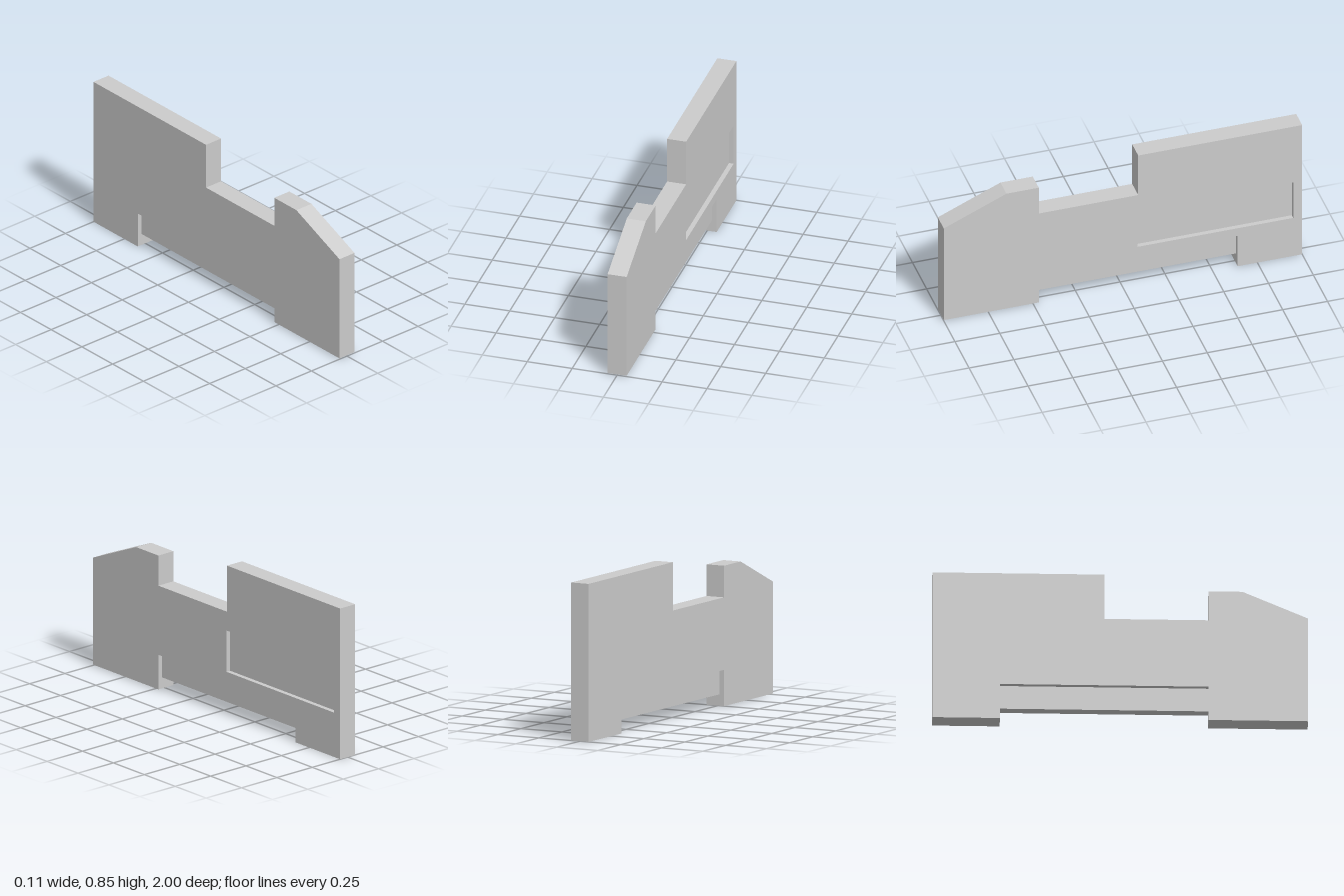
import * as THREE from 'three';
import { mergeGeometries } from 'three/addons/utils/BufferGeometryUtils.js';

// Profiles are (u, y) points, counter-clockwise, with u = -z; depth runs along x.
const HALF = 0.053, RECESS = 0.026;
const points = (list) => list.map(([u, y]) => new THREE.Vector2(u, y));

// Flat cap at a given depth, optionally facing backwards
function cap(outline, depth, hole, flip) {
  const shape = new THREE.Shape(outline);
  if (hole) shape.holes.push(new THREE.Path(hole));
  const geo = new THREE.ShapeGeometry(shape);
  if (flip) geo.index.array.reverse();
  geo.deleteAttribute('uv');
  geo.deleteAttribute('normal');
  return geo.toNonIndexed().translate(0, 0, depth);
}

// Side walls along a closed outline between depths a and b
function walls(outline, a, b) {
  const v = [];
  outline.forEach((p, i) => {
    const q = outline[(i + 1) % outline.length];
    v.push(p.x, p.y, a, q.x, q.y, a, q.x, q.y, b);
    v.push(p.x, p.y, a, q.x, q.y, b, p.x, p.y, b);
  });
  const geo = new THREE.BufferGeometry();
  geo.setAttribute('position', new THREE.Float32BufferAttribute(v, 3));
  return geo;
}

export function createModel() {
  const group = new THREE.Group();
  const material = new THREE.MeshStandardMaterial({ color: 0xcccccc, flatShading: true });

  const profile = points([
    [-1, 0.005], [-0.47, 0.005], [-0.47, 0.2], [0.64, 0.2], [0.64, 0], [1, 0],
    [1, 0.85], [0.085, 0.85], [0.085, 0.59], [-0.47, 0.59], [-0.47, 0.76],
    [-0.65, 0.76], [-1, 0.608],
  ]);
  const panel = points([[0.08, 0.25], [0.95, 0.25], [0.95, 0.483], [0.08, 0.483]]);
  const panelReversed = [...panel].reverse();

  // Body slab with a shallow rectangular pocket in its left (+x) face
  const bodyGeometry = mergeGeometries([
    cap(profile, HALF, panelReversed),
    cap(profile, -HALF, null, true),
    walls(profile, -HALF, HALF),
    cap(panel, HALF - RECESS),
    walls(panelReversed, HALF - RECESS, HALF),
  ]);
  bodyGeometry.rotateY(Math.PI / 2);
  bodyGeometry.computeVertexNormals();
  const body = new THREE.Mesh(bodyGeometry, material);
  body.name = 'body';
  group.add(body);

  // Thin skirt between the two feet, set back on both sides
  const skirt = new THREE.Mesh(new THREE.BoxGeometry(2 * (HALF - RECESS), 0.143, 1.13), material);
  skirt.position.set(0, 0.1385, -0.085);
  skirt.name = 'skirt';
  group.add(skirt);

  return group;
}
